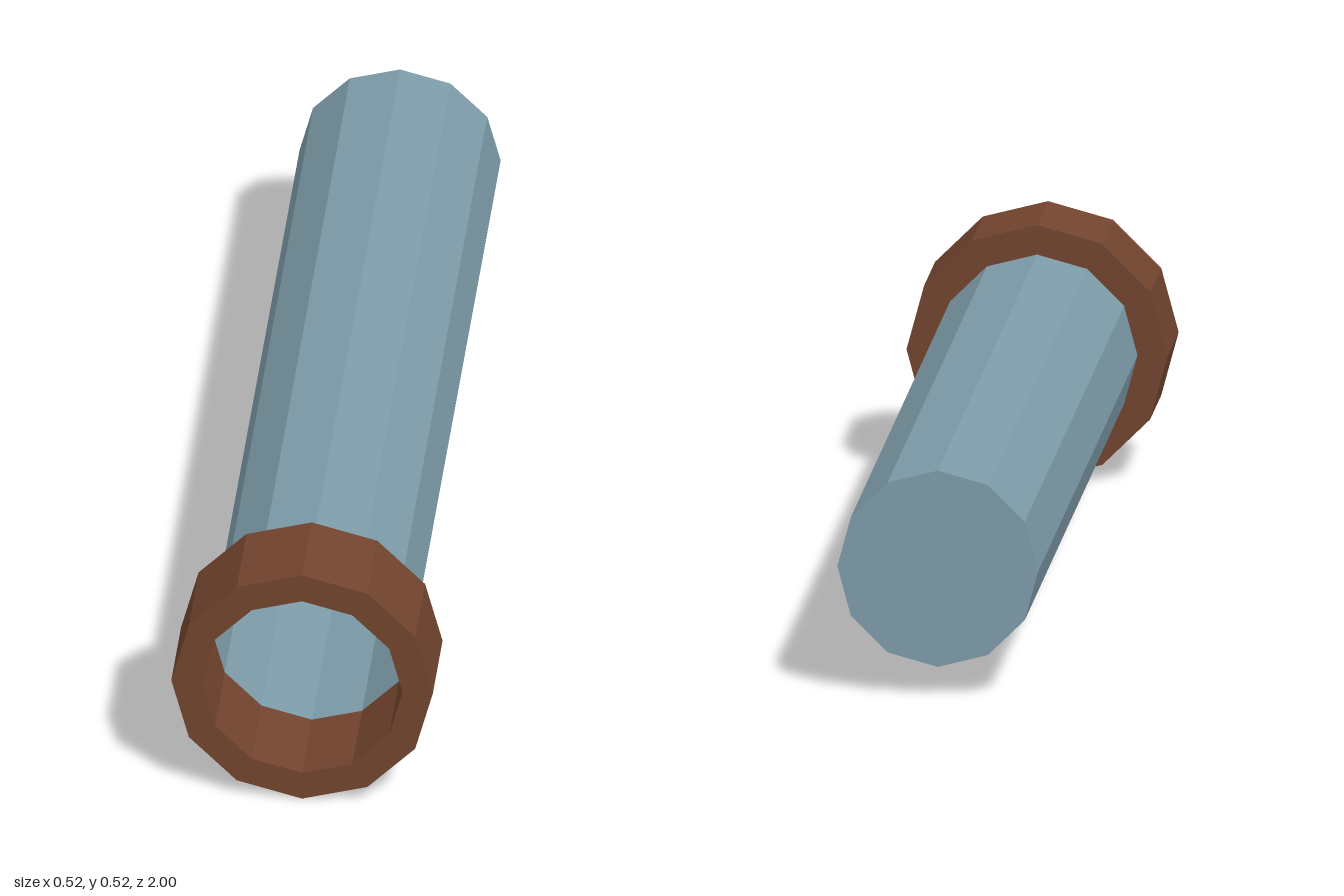
import * as THREE from 'three';

const SIDES = 12;
const RADIUS = 0.2;
const COLLAR_RADIUS = 0.26;

// Faceted solid turned around the z axis from [radius, z] pairs
function turned(name, profile, material) {
  const points = profile.map(([r, z]) => new THREE.Vector2(r, z));
  const geometry = new THREE.LatheGeometry(points, SIDES);
  geometry.rotateX(Math.PI / 2);
  const mesh = new THREE.Mesh(geometry, material);
  mesh.name = name;
  mesh.position.y = COLLAR_RADIUS;
  return mesh;
}

export function createModel() {
  const steel = new THREE.MeshStandardMaterial({
    name: 'blueGreySteel', color: 0x7d9ca9, flatShading: true, side: THREE.DoubleSide,
  });
  const brown = new THREE.MeshStandardMaterial({
    name: 'brown', color: 0x72442e, flatShading: true,
  });

  const model = new THREE.Group();
  model.name = 'tubeWithCollar';

  // Thin-walled tube, closed at the back and open at the front
  model.add(turned('tube', [[0, -1], [RADIUS, -1], [RADIUS, 0.8]], steel));

  // Collar ring around the open mouth
  model.add(turned('collar', [
    [RADIUS, 0.8], [COLLAR_RADIUS, 0.8], [COLLAR_RADIUS, 1], [RADIUS, 1], [RADIUS, 0.8],
  ], brown));

  return model;
}
